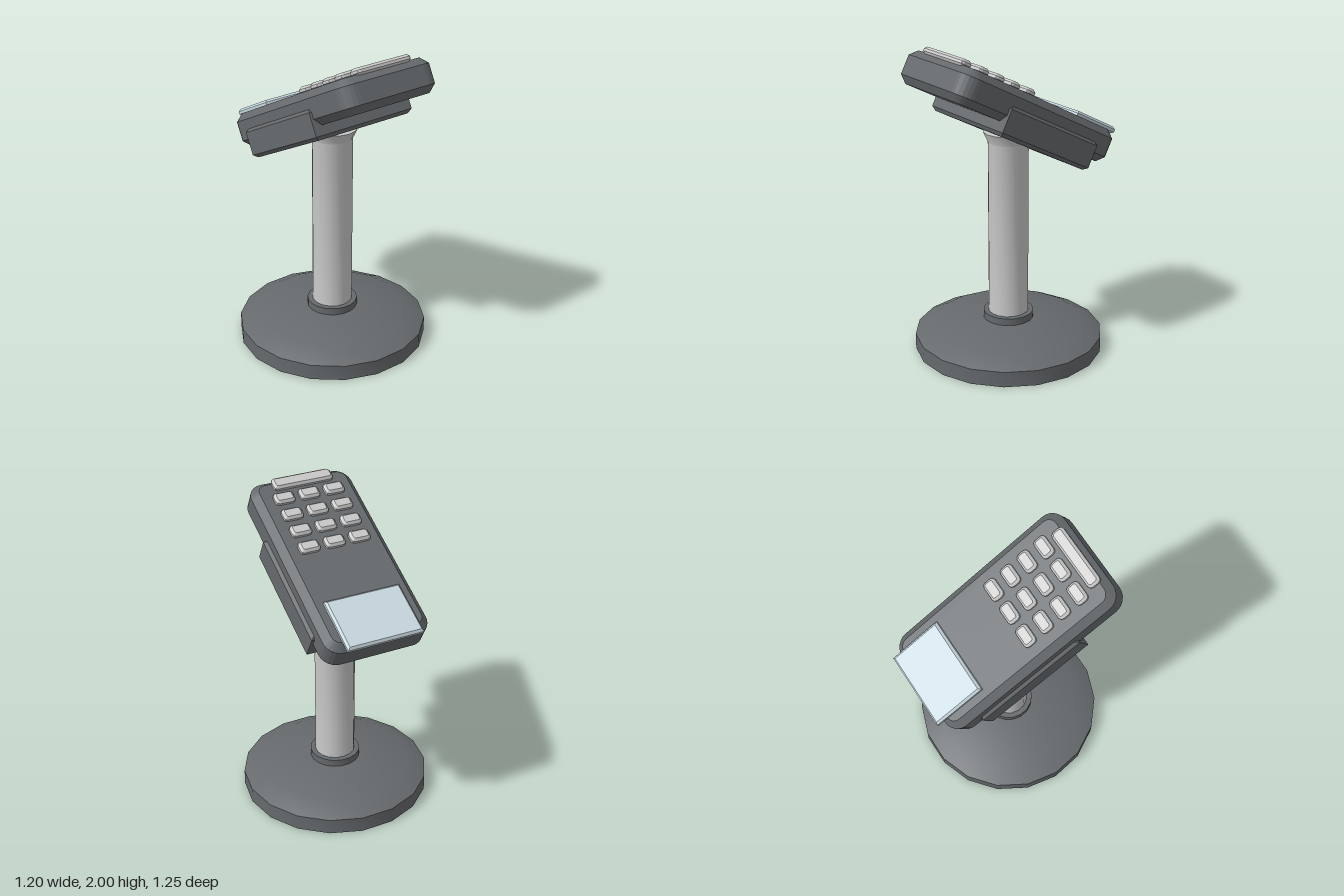
import * as THREE from 'three';
import { toCreasedNormals } from 'three/addons/utils/BufferGeometryUtils.js';

const material = (color) => new THREE.MeshStandardMaterial({ color });
const dark = material(0x666a6d);
const metal = material(0xc8c8cc);
const keyGrey = material(0xcccccc);
const glass = material(0xc8d8e0);

// Upright slab with chamfered edges: w, h, d are overall sizes, centred on the origin
function slab(name, w, h, d, radius, bevel, mat, segments = 1) {
  const x = w / 2 - bevel, y = d / 2 - bevel, r = radius;
  const s = new THREE.Shape();
  if (r > 0) {
    s.absarc(x - r, y - r, r, 0, Math.PI / 2);
    s.absarc(-x + r, y - r, r, Math.PI / 2, Math.PI);
    s.absarc(-x + r, -y + r, r, Math.PI, Math.PI * 1.5);
    s.absarc(x - r, -y + r, r, Math.PI * 1.5, Math.PI * 2);
    s.closePath();
  } else {
    s.moveTo(x, y).lineTo(-x, y).lineTo(-x, -y).lineTo(x, -y).closePath();
  }
  const g = new THREE.ExtrudeGeometry(s, {
    depth: h - 2 * bevel, bevelEnabled: true, bevelSize: bevel,
    bevelThickness: bevel, bevelSegments: 1, curveSegments: segments,
  });
  g.center();
  g.rotateX(-Math.PI / 2);
  const mesh = new THREE.Mesh(g, mat);
  mesh.name = name;
  return mesh;
}

// Turned part from [radius, height] pairs, with a facet corner on the x axis
function turned(name, points, sides, mat) {
  const profile = points.map(([r, y]) => new THREE.Vector2(r, y));
  const g = new THREE.LatheGeometry(profile, sides, Math.PI / 2);
  const mesh = new THREE.Mesh(toCreasedNormals(g, 0.5), mat);
  mesh.name = name;
  return mesh;
}

export function createModel() {
  const model = new THREE.Group();
  model.name = 'keypadTerminal';

  // Stand: weighted base, collar and column with a flared top
  const stand = new THREE.Group();
  stand.name = 'stand';
  stand.position.z = 0.036;
  stand.add(
    turned('base', [[0, 0], [0.6, 0], [0.6, 0.1], [0.48, 0.16], [0.16, 0.197], [0, 0.197]], 18, dark),
    turned('collar', [[0, 0.18], [0.16, 0.18], [0.16, 0.243], [0, 0.243]], 18, dark),
    turned('column', [[0, 0.2], [0.127, 0.2], [0.127, 1.375], [0.158, 1.443], [0, 1.443]], 16, metal),
  );
  model.add(stand);

  // Tilted head; its origin is the middle of the top face
  const head = new THREE.Group();
  head.name = 'head';
  head.position.set(0, 1.681, -0.021);
  head.rotation.x = -THREE.MathUtils.degToRad(28);
  model.add(head);
  const place = (mesh, x, y, z) => {
    mesh.position.set(x, y, z);
    head.add(mesh);
  };

  place(slab('body', 0.68, 0.212, 1.28, 0.055, 0.045, dark, 3), 0, -0.106, 0);
  place(slab('mountingCradle', 0.716, 0.19, 0.743, 0, 0.022, dark), 0, -0.197, -0.095);
  place(slab('screen', 0.495, 0.046, 0.35, 0, 0.014, glass), 0, 0.009, -0.493);
  place(slab('endBar', 0.4, 0.046, 0.085, 0.012, 0.015, metal), 0, 0.014, 0.574);

  // Keypad, four rows of three
  for (let row = 0; row < 4; row++) {
    for (let col = -1; col <= 1; col++) {
      place(slab('key', 0.13, 0.046, 0.082, 0.01, 0.015, keyGrey), col * 0.168, 0.014, 0.462 - row * 0.128);
    }
  }
  return model;
}
